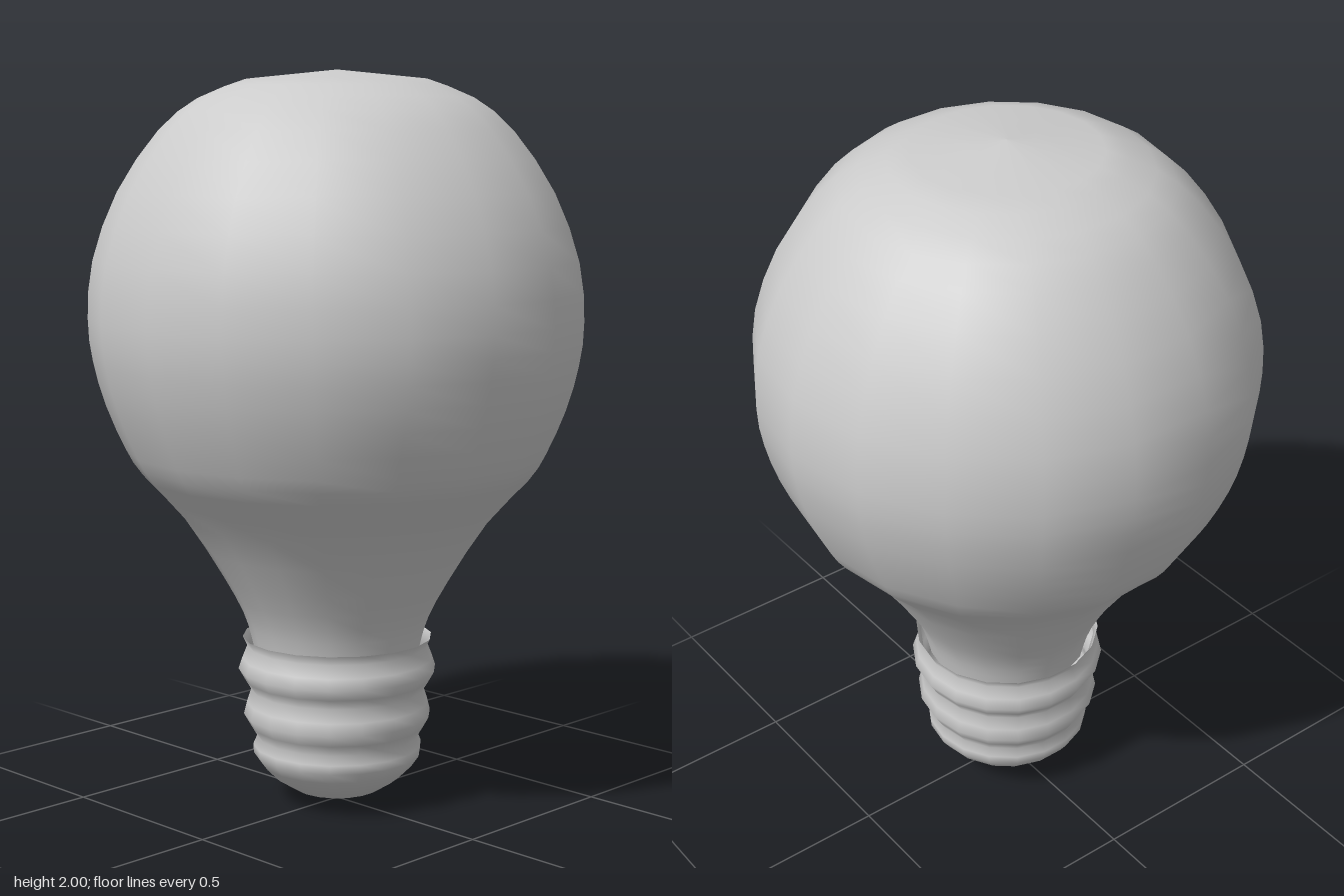
import * as THREE from 'three';

const SIDES = 18;
const toPoints = (list) => list.map(([r, y]) => new THREE.Vector2(r, y));

export function createModel() {
  const bulb = new THREE.Group();
  bulb.name = 'lightBulb';
  const material = new THREE.MeshStandardMaterial({ color: 0xcccccc, side: THREE.DoubleSide });

  // Profiles run from bottom to top
  function addLathe(name, points) {
    const mesh = new THREE.Mesh(new THREE.LatheGeometry(points, SIDES), material);
    mesh.name = name;
    bulb.add(mesh);
  }

  // Glass: neck flaring into a round globe, closed by a shallow cone
  const glassCurve = new THREE.SplineCurve(toPoints([
    [0.225, 0.42], [0.236, 0.47], [0.257, 0.536], [0.31, 0.636], [0.415, 0.8],
    [0.525, 0.92], [0.57, 0.99], [0.622, 1.11], [0.655, 1.23], [0.667, 1.345],
    [0.652, 1.5], [0.585, 1.68], [0.475, 1.84], [0.37, 1.925], [0.243, 1.975],
  ]));
  addLathe('glass', [...glassCurve.getPoints(28), new THREE.Vector2(0, 2)]);

  // Screw base: rounded contact tip, then three ridges and an open rim
  addLathe('screwBase', toPoints([
    [0, 0.005], [0.06, 0.02], [0.12, 0.04], [0.175, 0.075], [0.21, 0.11],
    [0.231, 0.14], [0.233, 0.165], [0.222, 0.19], [0.24, 0.22], [0.258, 0.252],
    [0.25, 0.285], [0.238, 0.322], [0.255, 0.35], [0.272, 0.38], [0.262, 0.41],
    [0.248, 0.445], [0.26, 0.47],
  ]));

  return bulb;
}
